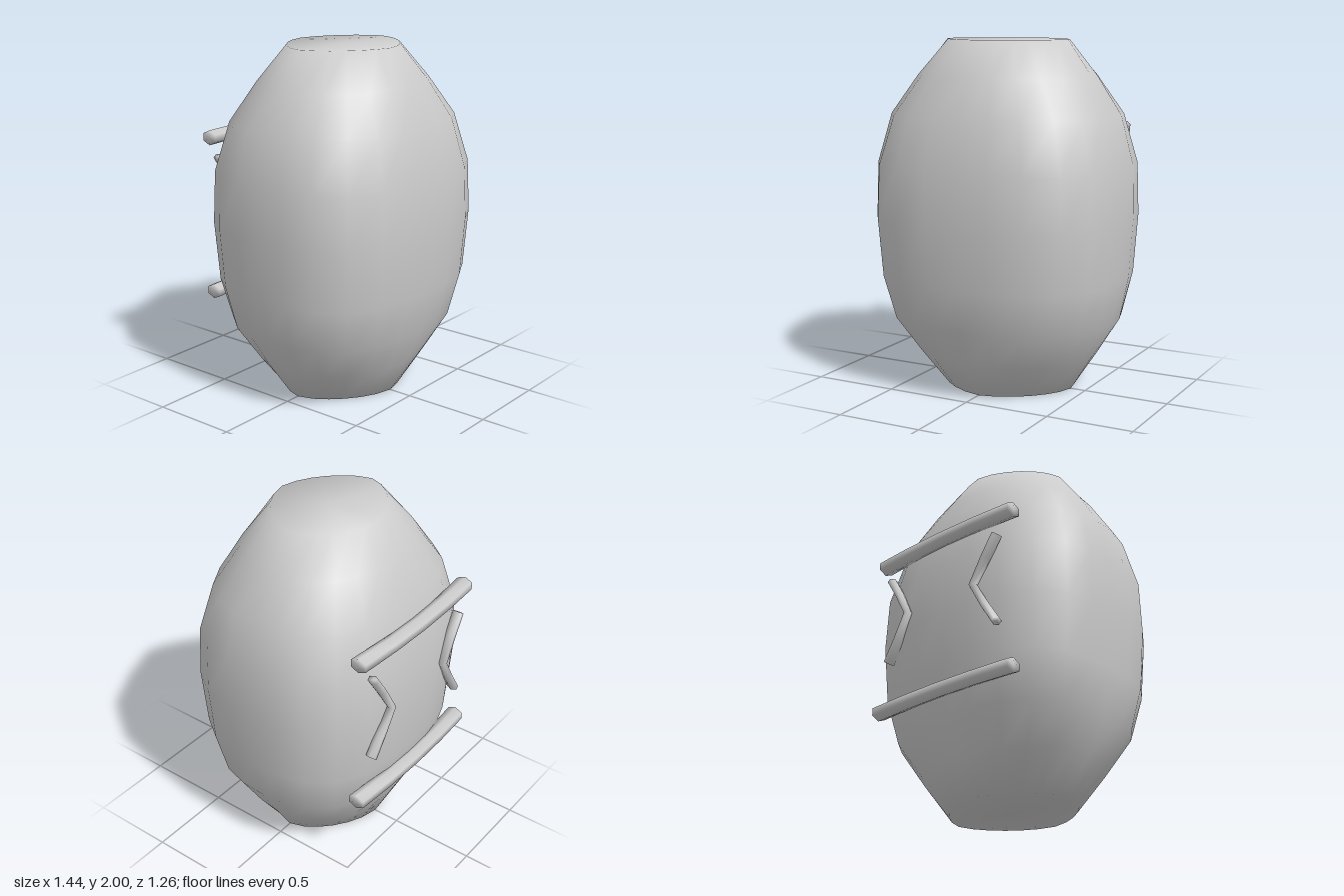
import * as THREE from 'three';

const SIDES = 24;

// Squarish oval that sharpens towards the ends: [y, half width, front z, back z, squareness]
const RINGS = [
  [0, 0.41, 0.36, 0.34, 1.6],
  [0.2, 0.535, 0.465, 0.44, 2.1],
  [0.41, 0.655, 0.56, 0.53, 2.6],
  [0.66, 0.70, 0.61, 0.58, 2.9],
  [1.0, 0.72, 0.63, 0.60, 3],
  [1.3, 0.715, 0.62, 0.59, 2.9],
  [1.58, 0.65, 0.56, 0.53, 2.6],
  [1.8, 0.52, 0.46, 0.43, 2.1],
  [2.0, 0.375, 0.34, 0.31, 1.6],
];

// Closed skin over a list of rings of points, with a fan on both ends
function loft(rings) {
  const n = rings[0].length, pos = [], index = [];
  rings.forEach((ring) => ring.forEach((p) => pos.push(p.x, p.y, p.z)));
  for (let r = 0; r < rings.length - 1; r++) {
    for (let i = 0; i < n; i++) {
      const a = r * n + i, b = r * n + (i + 1) % n;
      index.push(a, b, b + n, a, b + n, a + n);
    }
  }
  [0, rings.length - 1].forEach((r, end) => {
    const c = new THREE.Vector3();
    rings[r].forEach((p) => c.addScaledVector(p, 1 / n));
    const ci = pos.length / 3;
    pos.push(c.x, c.y, c.z);
    for (let i = 0; i < n; i++) {
      const a = r * n + i, b = r * n + (i + 1) % n;
      if (end) index.push(ci, a, b);
      else index.push(ci, b, a);
    }
  });
  const geo = new THREE.BufferGeometry();
  geo.setAttribute('position', new THREE.Float32BufferAttribute(pos, 3));
  geo.setIndex(index);
  geo.computeVertexNormals();
  return geo;
}

function bodyRing([y, w, front, back, e]) {
  return Array.from({ length: SIDES }, (_, i) => {
    const t = (i / SIDES) * Math.PI * 2;
    const s = Math.sin(t), c = Math.cos(t);
    const k = Math.pow(Math.abs(s) ** e + Math.abs(c) ** e, -1 / e);
    return new THREE.Vector3(w * k * s, y, (c > 0 ? front : back) * k * c);
  });
}

// Six-sided rod along points; the section is perpendicular to the path in the x-y plane
function rod(points, halfWidths, halfDepths) {
  const rings = points.map((p, j) => {
    const before = points[Math.max(j - 1, 0)], after = points[Math.min(j + 1, points.length - 1)];
    const dir = after.clone().sub(before).setZ(0).normalize();
    const side = new THREE.Vector3(-dir.y, dir.x, 0);
    return Array.from({ length: 6 }, (_, i) => {
      const a = (i / 6) * Math.PI * 2;
      return p.clone()
        .addScaledVector(side, Math.cos(a) * halfWidths[j])
        .add(new THREE.Vector3(0, 0, Math.sin(a) * halfDepths[j]));
    });
  });
  return loft(rings);
}

export function createModel() {
  const group = new THREE.Group();
  const material = new THREE.MeshStandardMaterial({ color: 0xcccccc });
  const add = (name, geometry) => {
    const mesh = new THREE.Mesh(geometry, material);
    mesh.name = name;
    group.add(mesh);
  };

  add('body', loft(RINGS.map(bodyRing)));

  // Two bars across the back, bowed slightly outwards
  [['upperBar', 1.465], ['lowerBar', 0.545]].forEach(([name, y]) => {
    const path = [-0.505, -0.25, 0, 0.25, 0.505].map(
      (x) => new THREE.Vector3(x, y, -0.585 + 0.1 * x * x));
    add(name, rod(path, [0.043, 0.043, 0.043, 0.043, 0.043], [0.055, 0.051, 0.05, 0.051, 0.055]));
  });

  // Pair of chevrons between the bars, points facing each other
  [['leftChevron', 1], ['rightChevron', -1]].forEach(([name, s]) => {
    const path = [[0.41, 0.815, -0.587], [0.335, 0.93, -0.592], [0.252, 1.075, -0.602],
      [0.335, 1.22, -0.592], [0.41, 1.335, -0.587]]
      .map(([x, y, z]) => new THREE.Vector3(s * x, y, z));
    add(name, rod(path, [0.025, 0.024, 0.025, 0.024, 0.025], [0.034, 0.032, 0.025, 0.032, 0.034]));
  });

  return group;
}
